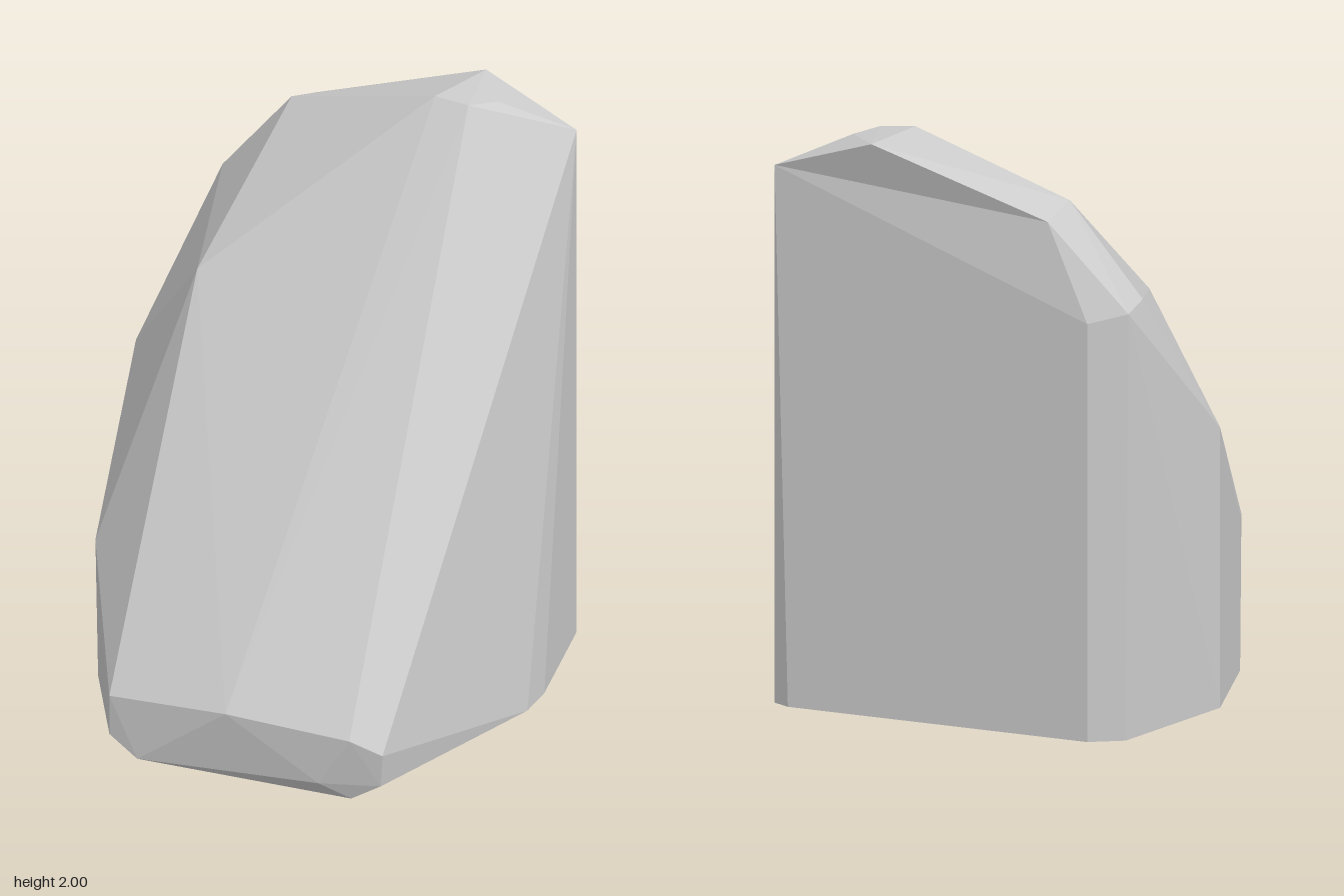
import * as THREE from 'three';
import { ConvexGeometry } from 'three/addons/geometries/ConvexGeometry.js';

const material = new THREE.MeshStandardMaterial({ color: 0xcccccc, flatShading: true });

// A faceted stone piece wrapped around its corner points
function facetedStone(name, corners) {
  const points = corners.map((c) => new THREE.Vector3(...c));
  const mesh = new THREE.Mesh(new ConvexGeometry(points), material);
  mesh.name = name;
  return mesh;
}

export function createModel() {
  const group = new THREE.Group();
  group.name = 'rock';

  // Ridge along the top, shared by the body and the overhanging crest
  const ridge = [
    [0.2, 2, -0.53], [0.32, 1.99, -0.54], [0.38, 1.98, -0.63],
    [0.61, 1.88, -0.75], [-0.36, 1.79, -0.74], [-0.38, 1.83, -0.6],
  ];

  // Left and right shoulders of the sloping front
  const shoulders = [
    [-0.64, 1.52, -0.6], [-0.64, 1.5, -0.72], [-0.52, 1.47, -0.785],
    [-0.765, 1.0, -0.24], [-0.45, 1.4, -0.09],
    [-0.66, 0.57, 0.18], [-0.61, 0.54, 0.31],
  ];

  // Blunt toe at the front
  const toe = [
    [-0.3, 0.24, 0.77], [0.14, 0.28, 0.775], [0.57, 0.255, 0.71],
    [0.665, 0.2, 0.655], [0.65, 0.08, 0.64], [0.55, 0.02, 0.66],
    [-0.3, 0.1, 0.77], [-0.19, 0.04, 0.78], [0.46, 0.08, 0.72],
  ];

  // Outline of the base, with its lowest point underneath
  const base = [
    [-0.6, 0.045, 0.31], [-0.66, 0.045, 0.18], [-0.765, 0.04, -0.24],
    [-0.63, 0.04, -0.72], [-0.52, 0.04, -0.785], [0.55, 0.04, -0.78],
    [0.61, 0.04, -0.75], [0.74, 0.04, -0.3], [0.755, 0.04, -0.16],
    [-0.15, 0, 0.4],
  ];

  group.add(facetedStone('body', [...ridge, ...shoulders, ...toe, ...base]));

  // Crest: the ridge pulled out slightly over the back face
  group.add(facetedStone('crest', [...ridge, [0.25, 2, -0.785]]));

  return group;
}
